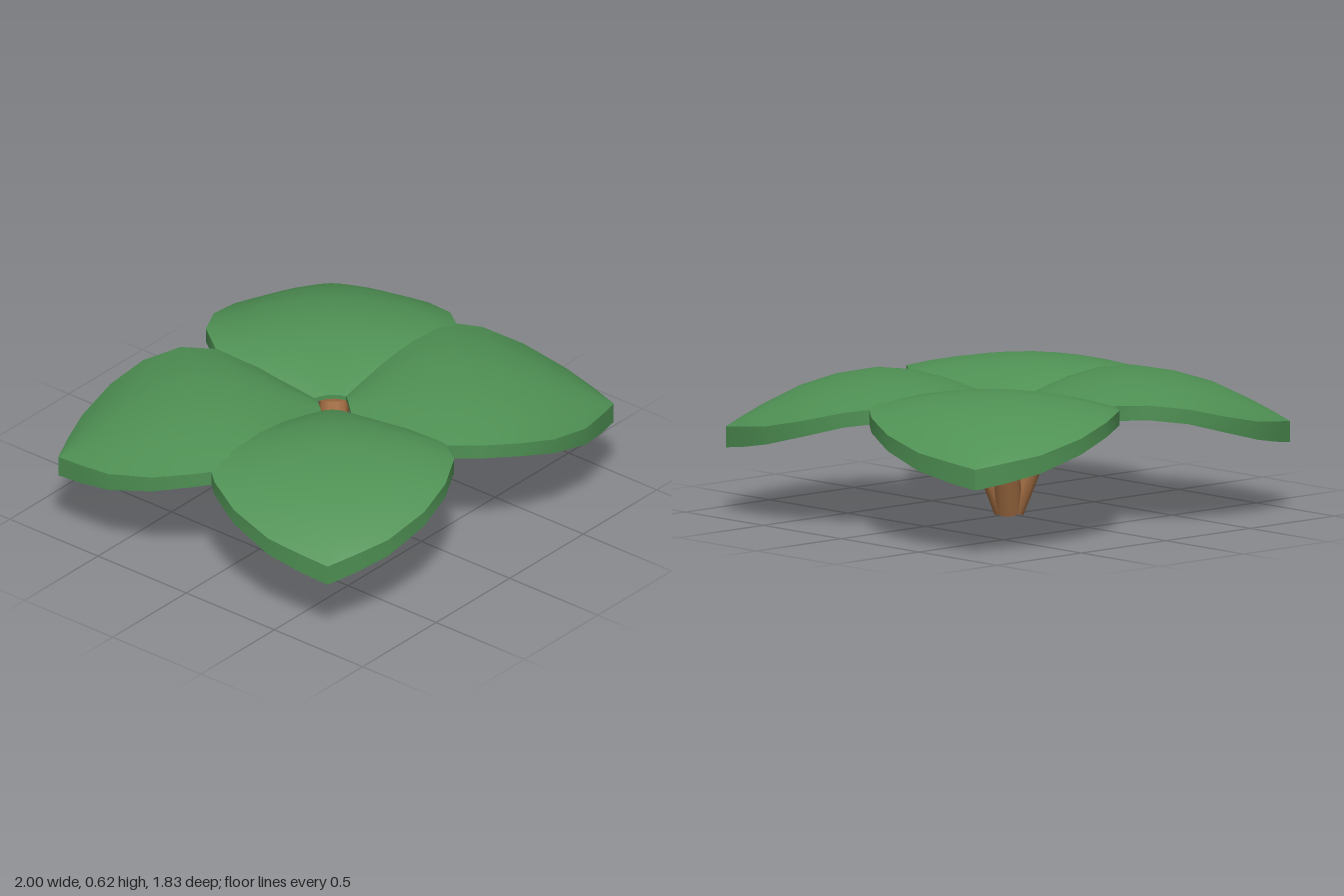
import * as THREE from 'three';
import { mergeGeometries } from 'three/addons/utils/BufferGeometryUtils.js';

// Stations along one leaf: distance out, half width, midrib height, edge height, thickness
const STATIONS = [
  [0.065, 0.085, 0.51, 0.49, 0.02],
  [0.15, 0.21, 0.545, 0.50, 0.035],
  [0.27, 0.37, 0.585, 0.525, 0.055],
  [0.41, 0.505, 0.613, 0.545, 0.065],
  [0.565, 0.545, 0.62, 0.552, 0.065],
  [0.74, 0.51, 0.598, 0.527, 0.065],
  [0.905, 0.42, 0.555, 0.48, 0.07],
  [1.067, 0.265, 0.48, 0.43, 0.08],
  [1.16, 0.125, 0.43, 0.408, 0.09],
  [1.233, 0, 0.388, 0.388, 0.092],
];
const COLUMNS = 10;

// Smooth sheet through a grid of points, at(row, column) -> [x, y, z]
function sheet(rows, cols, at, flip = false) {
  const pos = [], index = [];
  for (let i = 0; i < rows; i++) {
    for (let j = 0; j < cols; j++) {
      pos.push(...at(i, j));
      if (i === rows - 1 || j === cols - 1) continue;
      const a = i * cols + j, b = a + 1, c = a + cols, d = c + 1;
      if (flip) index.push(a, c, b, b, c, d);
      else index.push(a, b, c, b, d, c);
    }
  }
  const g = new THREE.BufferGeometry();
  g.setAttribute('position', new THREE.Float32BufferAttribute(pos, 3));
  g.setIndex(index);
  g.computeVertexNormals();
  return g;
}

// Domed leaf growing along +x, thin at the base and drooping to a point
function leafGeometry() {
  const n = STATIONS.length, m = COLUMNS + 1;
  const point = (i, t, bottom) => {
    const [u, w, mid, edge, thick] = STATIONS[i];
    const y = mid - (mid - edge) * t * t;
    return [u, y - (bottom ? thick : 0), t * w];
  };
  const tOf = (j) => (2 * j) / COLUMNS - 1;
  return mergeGeometries([
    sheet(n, m, (i, j) => point(i, tOf(j), false)),
    sheet(n, m, (i, j) => point(i, tOf(j), true), true),
    sheet(n, 2, (i, j) => point(i, 1, j === 1)),
    sheet(n, 2, (i, j) => point(i, -1, j === 1), true),
    sheet(2, m, (i, j) => point(0, tOf(j), i === 1), true),
  ]);
}

export function createModel() {
  const model = new THREE.Group();
  model.name = 'plant';
  const leafGreen = new THREE.MeshStandardMaterial({ color: 0x4f9154 });
  leafGreen.name = 'leaf green';
  const stemBrown = new THREE.MeshStandardMaterial({ color: 0xa67044 });
  stemBrown.name = 'stem brown';

  // Four leaves, aimed by the position of their tips
  const leaf = leafGeometry();
  const tips = {
    frontLeftLeaf: [0.935, 0.81],
    backLeftLeaf: [0.95, -0.805],
    backRightLeaf: [-0.97, -0.75],
    frontRightLeaf: [-0.95, 0.76],
  };
  for (const [name, [x, z]] of Object.entries(tips)) {
    const mesh = new THREE.Mesh(leaf, leafGreen);
    mesh.name = name;
    mesh.rotation.y = -Math.atan2(z, x);
    const s = Math.hypot(x, z) / 1.233;
    mesh.scale.set(s, 1, s);
    model.add(mesh);
  }

  // Four stems spreading upward from one foot
  const up = new THREE.Vector3(0, 1, 0);
  for (const sx of [-1, 1]) {
    for (const sz of [-1, 1]) {
      const foot = new THREE.Vector3(0.01 + sx * 0.008, 0.015, -0.006 + sz * 0.006);
      const top = new THREE.Vector3(0.01 + sx * 0.125, 0.425, -0.006 + sz * 0.103);
      const axis = top.clone().sub(foot);
      const stem = new THREE.Mesh(new THREE.CylinderGeometry(0.066, 0.058, axis.length(), 10), stemBrown);
      stem.name = (sz > 0 ? 'front' : 'back') + (sx > 0 ? 'Left' : 'Right') + 'Stem';
      stem.position.copy(foot).add(top).multiplyScalar(0.5);
      stem.quaternion.setFromUnitVectors(up, axis.normalize());
      model.add(stem);
    }
  }
  return model;
}
